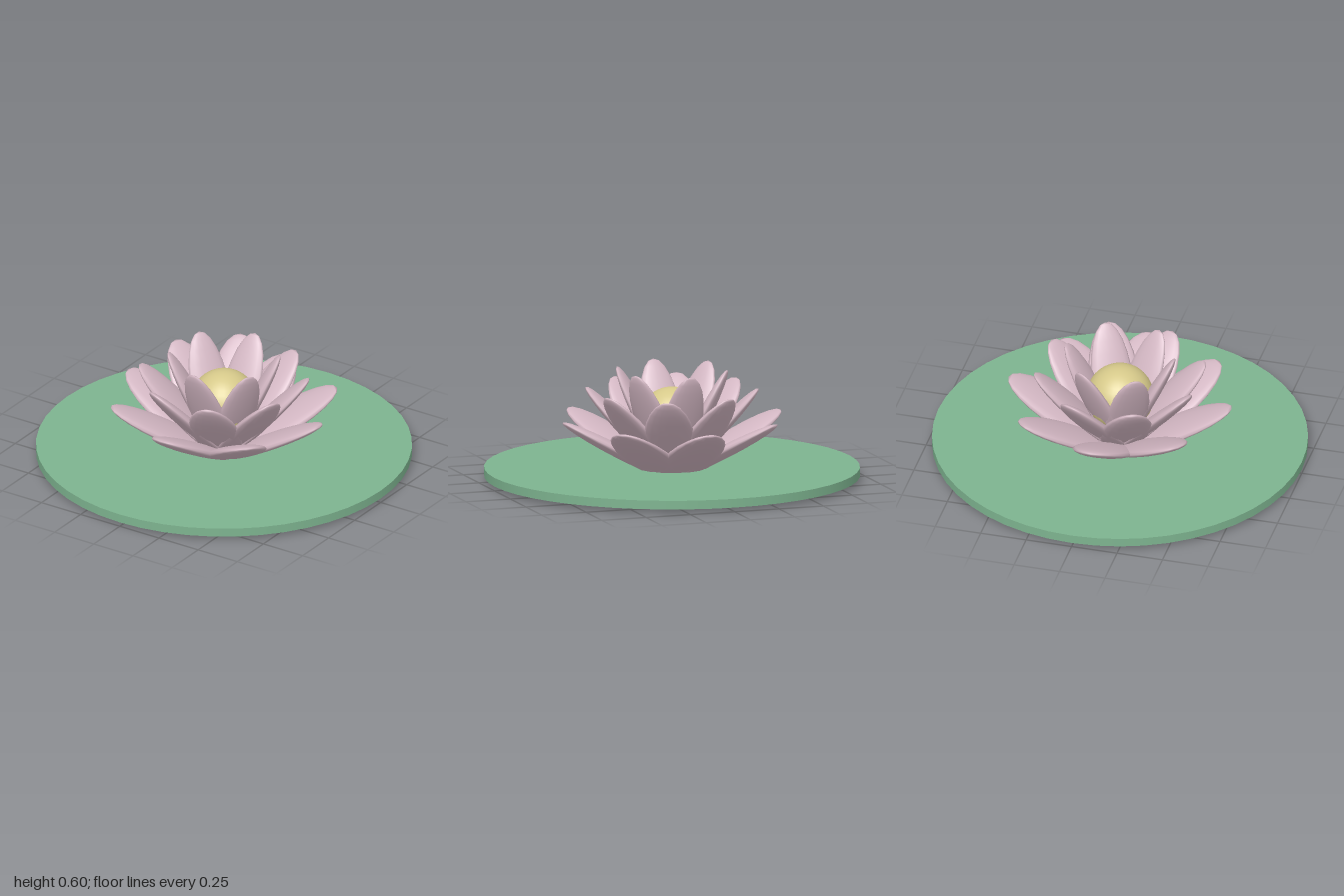
import * as THREE from 'three';

const material = (name, color) => {
  const m = new THREE.MeshStandardMaterial({ color });
  m.name = name;
  return m;
};

export function createModel() {
  const model = new THREE.Group();
  model.name = 'waterLily';
  const green = material('leaf green', 0x7db38f);
  const pink = material('petal pink', 0xd3b7c3);
  const yellow = material('pollen yellow', 0xd6c98a);

  // Flat floating leaf
  const pad = new THREE.Mesh(new THREE.CylinderGeometry(1, 1, 0.047, 48), green);
  pad.name = 'lilyPad';
  pad.position.y = 0.046;
  model.add(pad);

  // One petal: a unit ellipsoid standing on its base point
  const petalShape = new THREE.SphereGeometry(1, 16, 12).translate(0, 1, 0);

  // Ring of petals leaning outward, each rooted at the flower's base
  function petalRing(name, count, startAngle, elevation, length, width, thickness) {
    const ring = new THREE.Group();
    ring.name = name;
    for (let i = 0; i < count; i++) {
      const holder = new THREE.Group();
      holder.name = name + 'Petal';
      holder.rotation.y = startAngle + (i / count) * Math.PI * 2;
      const petal = new THREE.Mesh(petalShape, pink);
      petal.name = 'petal';
      petal.scale.set(width / 2, length / 2, thickness / 2);
      petal.rotation.x = THREE.MathUtils.degToRad(90 - elevation);
      holder.add(petal);
      ring.add(holder);
    }
    ring.position.y = 0.002;
    model.add(ring);
  }
  petalRing('outerRing', 8, 0, 29, 0.7, 0.32, 0.07);
  petalRing('middleRing', 8, Math.PI / 8, 47, 0.675, 0.275, 0.07);
  petalRing('innerRing', 6, 0, 63.5, 0.67, 0.23, 0.07);

  // Round flower heart
  const heart = new THREE.Mesh(new THREE.SphereGeometry(0.18, 32, 20), yellow);
  heart.name = 'flowerHeart';
  heart.position.y = 0.32;
  model.add(heart);

  return model;
}
